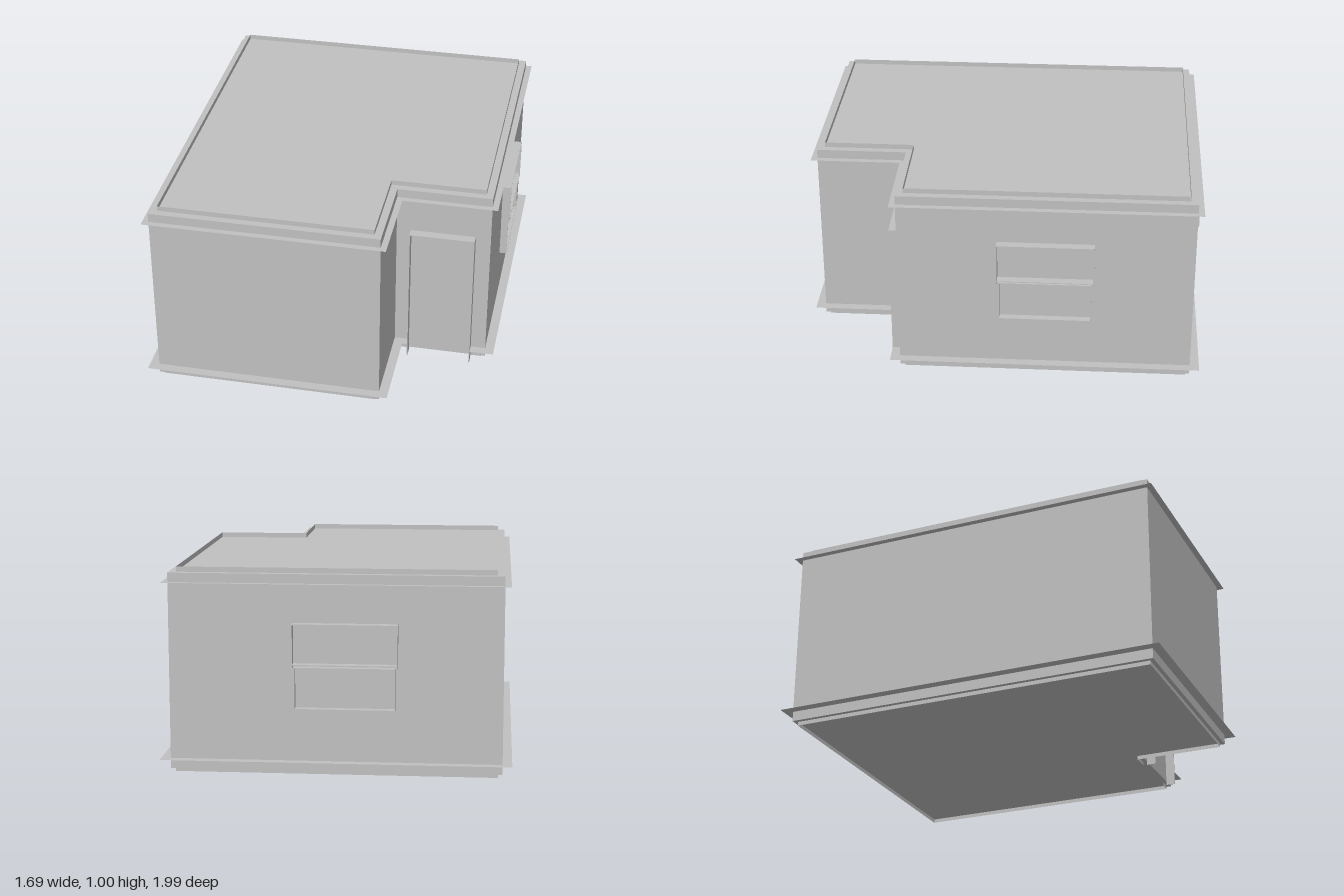
import * as THREE from 'three';

export function createModel() {
  const house = new THREE.Group();
  house.name = 'house';
  const grey = new THREE.MeshStandardMaterial({ color: 0xc0c0c0, side: THREE.DoubleSide });
  grey.name = 'plain grey';

  const add = (name, geometry, parent = house) => {
    const mesh = new THREE.Mesh(geometry, grey);
    mesh.name = name;
    parent.add(mesh);
    return mesh;
  };
  const group = (name) => {
    const g = new THREE.Group();
    g.name = name;
    house.add(g);
    return g;
  };

  // L-shaped floor plan as [x, z], grown outward by d
  const plan = (d) => [
    [-0.8 - d, 0.95 + d], [0.33 + d, 0.95 + d], [0.33 + d, 0.5 + d],
    [0.8 + d, 0.5 + d], [0.8 + d, -0.95 - d], [-0.8 - d, -0.95 - d],
  ];

  // Flat four-cornered panel
  const quad = (a, b, c, d) => {
    const g = new THREE.BufferGeometry();
    g.setAttribute('position', new THREE.Float32BufferAttribute([...a, ...b, ...c, ...d], 3));
    g.setIndex([0, 1, 2, 0, 2, 3]);
    g.computeVertexNormals();
    return g;
  };

  // Walls, roof and floor in one solid
  const shape = new THREE.Shape(plan(0).map(([x, z]) => new THREE.Vector2(x, -z)));
  const body = new THREE.ExtrudeGeometry(shape, { depth: 0.955, bevelEnabled: false });
  body.rotateX(-Math.PI / 2).translate(0, 0.02, 0);
  add('walls', body);

  // Trim that follows the plan from (offset d0, height y0) to (d1, y1)
  const DOOR = [0.405, 0.722];
  const trim = (name, d0, y0, d1, y1, doorGap) => {
    const g = group(name);
    const p = plan(d0), q = plan(d1);
    for (let i = 0; i < 6; i++) {
      const j = (i + 1) % 6;
      const a = [p[i][0], y0, p[i][1]], b = [p[j][0], y0, p[j][1]];
      const c = [q[j][0], y1, q[j][1]], d = [q[i][0], y1, q[i][1]];
      if (doorGap && i === 2) {
        // leave the doorway open
        const at = (v, x) => [x, v[1], v[2]];
        add(name + 'Left', quad(a, at(b, DOOR[0]), at(c, DOOR[0]), d), g);
        add(name + 'Right', quad(at(a, DOOR[1]), b, c, at(d, DOOR[1])), g);
      } else add(name + 'Side', quad(a, b, c, d), g);
    }
  };
  trim('roofRim', -0.036, 0.97, -0.036, 1.0, false);
  trim('corniceLedge', 0, 0.93, 0.03, 0.93, false);
  trim('foundationRim', -0.02, 0, -0.02, 0.025, true);
  trim('skirtingLedge', 0, 0.07, 0.046, 0.07, true);

  const T = 0.004; // thickness of frame fins

  // Frame fins standing out from a wall, built facing +z
  const fins = (parent, w, y0, y1, depth, bars) => {
    for (const s of [-1, 1]) {
      add('frameSide', new THREE.BoxGeometry(T, y1 - y0, depth), parent)
        .position.set(s * (w / 2 - T / 2), (y0 + y1) / 2, depth / 2);
    }
    for (const y of bars) {
      add('frameBar', new THREE.BoxGeometry(w, T, depth), parent).position.set(0, y, depth / 2);
    }
  };

  // Door frame in the notch
  const door = group('doorFrame');
  door.position.set(0.563, 0, 0.5);
  fins(door, 0.325, 0, 0.745, 0.047, [0.743]);

  // Sash windows: wider upper sash over a narrower lower one
  const windowFrame = (name, w, x, z, turn) => {
    const g = group(name);
    g.position.set(x, 0, z);
    g.rotation.y = turn;
    fins(g, w, 0.53, 0.742, 0.044, [0.74, 0.545]);
    fins(g, w - 0.02, 0.328, 0.53, 0.036, [0.33, 0.53]);
  };
  windowFrame('sideWindow', 0.475, 0.8, -0.225, Math.PI / 2);
  windowFrame('backWindow', 0.505, -0.047, -0.95, Math.PI);

  return house;
}
